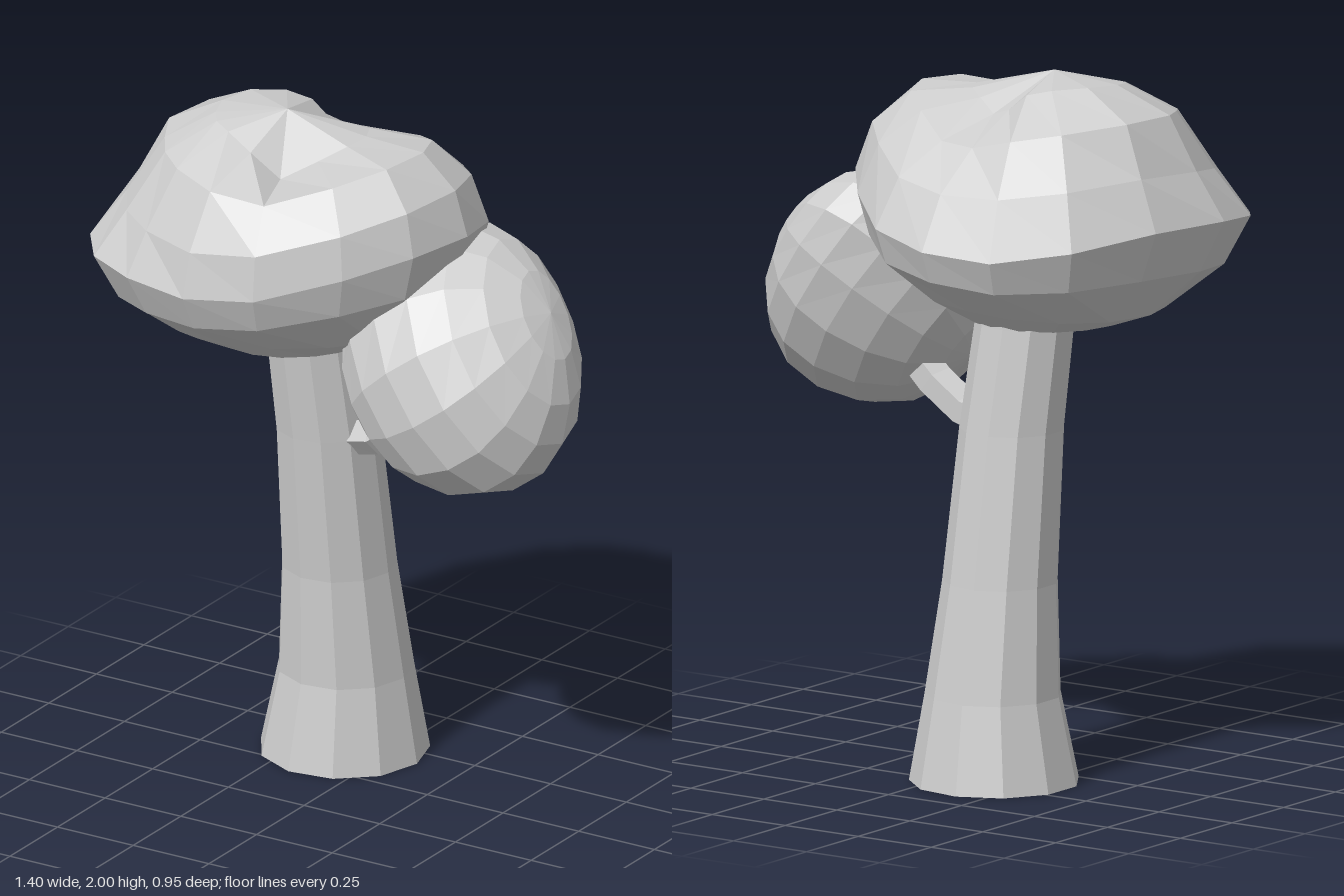
import * as THREE from 'three';

const material = new THREE.MeshStandardMaterial({ color: 0xcccccc, flatShading: true });

function part(name, geometry) {
  const mesh = new THREE.Mesh(geometry, material);
  mesh.name = name;
  return mesh;
}

// Skin over rings listed bottom to top, closed by a point at each end.
// Ring points run from +x towards +z.
function loft(rings, bottom, top) {
  const n = rings[0].length;
  const all = [Array(n).fill(bottom), ...rings, Array(n).fill(top)];
  const index = [];
  for (let j = 0; j < all.length - 1; j++) {
    for (let i = 0; i < n; i++) {
      const a = j * n + i, b = j * n + (i + 1) % n;
      if (j < all.length - 2) index.push(a, a + n, b + n);
      if (j > 0) index.push(a, b + n, b);
    }
  }
  const geometry = new THREE.BufferGeometry();
  geometry.setAttribute('position', new THREE.Float32BufferAttribute(all.flat(2), 3));
  geometry.setIndex(index);
  geometry.computeVertexNormals();
  return geometry;
}

// Smooth value around a ring from its right, front, left and back values
function around([r, f, l, b], angle) {
  return (r + f + l + b) / 4 + (r - l) / 2 * Math.cos(angle)
    + (f - b) / 2 * Math.sin(angle) + (r + l - f - b) / 4 * Math.cos(2 * angle);
}

// Bump of height 1 at one angle, fading to 0 on both sides
function bump(angle, centre) {
  return Math.max(0, Math.cos(angle - centre)) ** 8;
}

function makeTrunk() {
  // height, centre x, centre z, radius
  const sections = [
    [0, -0.135, -0.175, 0.241], [0.25, -0.13, -0.175, 0.193], [0.57, -0.137, -0.15, 0.164],
    [1.0, -0.145, -0.105, 0.149], [1.3, -0.165, -0.07, 0.142], [1.5, -0.17, -0.05, 0.14],
  ];
  const rings = sections.map(([y, x, z, r]) => Array.from({ length: 11 }, (_, i) => {
    const a = i / 11 * Math.PI * 2;
    return [x + r * Math.cos(a), y, z + r * Math.sin(a)];
  }));
  return part('trunk', loft(rings, [-0.135, 0, -0.175], [-0.17, 1.5, -0.05]));
}

function makeMainCrown() {
  // Widest outline seen from above, as x and z
  const outline = [
    [0.37, -0.02], [0.31, 0.17], [0.17, 0.32], [-0.05, 0.44], [-0.26, 0.475], [-0.46, 0.45],
    [-0.6, 0.4], [-0.675, 0.3], [-0.705, 0.13], [-0.64, -0.11], [-0.5, -0.32], [-0.31, -0.45],
    [-0.1, -0.48], [0.08, -0.45], [0.24, -0.31], [0.34, -0.18],
  ];
  // Heights and outline scales at right, front, left, back; then how far the front
  // left corner is drawn in, and the depths of the front hollow and the back hollow
  const levels = [
    [[1.3, 1.3, 1.29, 1.3], [0.33, 0.4, 0.38, 0.42], 0, 0, 0],
    [[1.39, 1.36, 1.33, 1.36], [0.68, 0.6, 0.6, 0.62], 0, 0, 0],
    [[1.57, 1.46, 1.47, 1.46], [0.93, 0.91, 0.87, 0.93], 0, 0, 0],
    [[1.71, 1.56, 1.62, 1.55], [1, 1, 1, 1], 0, 0, 0],
    [[1.84, 1.69, 1.76, 1.72], [0.93, 0.95, 0.89, 0.84], 0.1, 0, 0.02],
    [[1.935, 1.86, 1.91, 1.86], [0.74, 0.77, 0.78, 0.58], 0.2, 0.04, 0.05],
    [[1.945, 1.94, 1.985, 1.96], [0.4, 0.42, 0.43, 0.27], 0.1, 0.09, 0.06],
  ];
  const rings = levels.map(([heights, scales, drawIn, front, back]) => outline.map(([x, z]) => {
    const a = Math.atan2(z, x + 0.17);
    const s = around(scales, a) * (1 - drawIn * bump(a, 2.55));
    const y = around(heights, a) - front * bump(a, 1.25) - back * bump(a, -1.15);
    return [-0.17 + s * (x + 0.17), y, s * z];
  }));
  return part('mainCrown', loft(rings, [-0.17, 1.29, -0.04], [-0.18, 2, 0.05]));
}

function makeSideCrown() {
  // Ball squashed more on its outer half, its pole leaning outwards
  const geometry = new THREE.SphereGeometry(1, 14, 9);
  const p = geometry.attributes.position;
  for (let i = 0; i < p.count; i++) p.setY(i, p.getY(i) * (p.getY(i) > 0 ? 0.28 : 0.335));
  geometry.scale(0.385, 1, 0.285).rotateZ(-0.94);
  // Swept back towards the top and the outside
  for (let i = 0; i < p.count; i++) {
    const y = p.getY(i);
    p.setZ(i, p.getZ(i) - 0.2 * y - 0.5 * Math.max(0, y) ** 2 - 0.13 * p.getX(i));
  }
  geometry.translate(0.375, 1.34, -0.015);
  geometry.computeVertexNormals();
  return part('sideCrown', geometry);
}

function makeBranch() {
  const path = new THREE.CatmullRomCurve3([
    new THREE.Vector3(-0.08, 0.99, -0.075),
    new THREE.Vector3(0.08, 1.035, -0.06),
    new THREE.Vector3(0.25, 1.17, -0.04),
  ]);
  return part('branch', new THREE.TubeGeometry(path, 3, 0.054, 5, false));
}

export function createModel() {
  const group = new THREE.Group();
  group.name = 'tree';
  group.add(makeTrunk(), makeMainCrown(), makeSideCrown(), makeBranch());
  return group;
}
